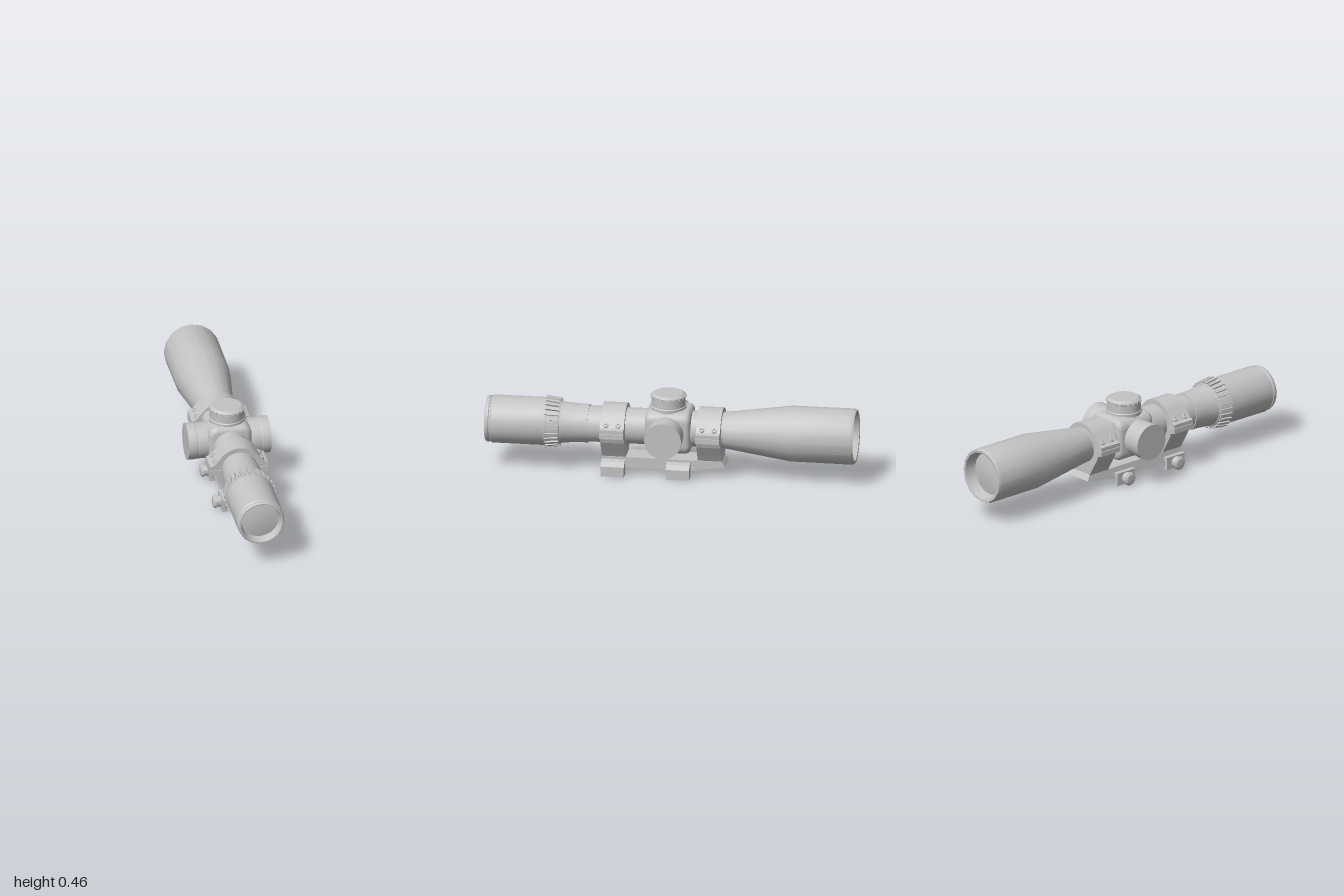
import * as THREE from 'three';
import { toCreasedNormals } from 'three/addons/utils/BufferGeometryUtils.js';

const AXIS_Y = 0.259;
const TURRET_Z = 0.017;

export function createModel() {
  const model = new THREE.Group();
  model.name = 'rifleScope';
  const metal = new THREE.MeshStandardMaterial({ color: 0xc4c4c4 });
  metal.name = 'grey metal';

  const add = (name, geometry, parent = model) => {
    const mesh = new THREE.Mesh(geometry, metal);
    mesh.name = name;
    parent.add(mesh);
    return mesh;
  };
  const group = (name) => {
    const g = new THREE.Group();
    g.name = name;
    model.add(g);
    return g;
  };
  // Profile of [radius, height] pairs turned about y
  const turn = (points, sides = 32) => toCreasedNormals(
    new THREE.LatheGeometry(points.map(([r, h]) => new THREE.Vector2(r, h)), sides), 0.45);
  const alongZ = (points, sides) => turn(points, sides).rotateX(Math.PI / 2).translate(0, AXIS_Y, 0);
  // Outline of [x, y] pairs extruded from z0 to z1
  const extrude = (points, z0, z1) => new THREE.ExtrudeGeometry(
    new THREE.Shape(points.map(([x, y]) => new THREE.Vector2(x, y))),
    { depth: z1 - z0, bevelEnabled: false }).translate(0, 0, z0);

  // Optical tube, from the objective at the back to the eyepiece at the front
  add('mainTube', alongZ([[0.097, -0.34], [0.097, 0.46]]));
  add('objectiveBell', alongZ([
    [0, -0.955], [0.06, -0.952], [0.118, -0.94], [0.132, -0.998], [0.145, -1], [0.151, -0.985],
    [0.15, -0.65], [0.098, -0.29]], 16));
  add('eyepieceNeck', alongZ([[0.09, 0.445], [0.103, 0.445], [0.104, 0.5], [0.109, 0.57], [0.117, 0.61]]));
  add('eyepiece', alongZ([
    [0.11, 0.66], [0.129, 0.66], [0.129, 0.965], [0.121, 0.972], [0.121, 0.977],
    [0.125, 0.98], [0.125, 0.992], [0.12, 1], [0.112, 1], [0.102, 0.95], [0.06, 0.958], [0, 0.962]]));

  // Zoom ring with slanted grip ribs
  const zoom = group('zoomRing');
  add('zoomRingBody', alongZ([[0.1, 0.595], [0.117, 0.595], [0.122, 0.605], [0.13, 0.665],
    [0.134, 0.668], [0.134, 0.682], [0.12, 0.685]]), zoom);
  const ribs = 28;
  for (let i = 0; i < ribs; i++) {
    const rib = new THREE.BoxGeometry(0.017, 0.012, 0.076)
      .rotateX(-0.14).translate(0, 0.1295, 0.638)
      .rotateZ((i / ribs) * Math.PI * 2).translate(0, AXIS_Y, 0);
    add('zoomRingRib', rib, zoom);
  }

  // Turret housing: rounded square with softened ends
  const section = new THREE.Shape();
  const corner = 0.065;
  for (let i = 0; i < 4; i++) {
    const a = (i * Math.PI) / 2;
    const q = a + Math.PI / 4;
    section.absarc(Math.SQRT2 * corner * Math.cos(q), Math.SQRT2 * corner * Math.sin(q), 0.022, a, a + Math.PI / 2);
  }
  add('turretHousing', toCreasedNormals(new THREE.ExtrudeGeometry(section, {
    depth: 0.184, bevelSize: 0.031, bevelThickness: 0.031, bevelSegments: 5, curveSegments: 6,
  }), 0.45).translate(0, AXIS_Y, -0.084));

  // Elevation turret with toothed rim
  const top = group('elevationTurret');
  add('elevationCap', turn([[0, 0.33], [0.096, 0.33], [0.096, 0.388], [0.092, 0.392], [0.092, 0.434],
    [0.095, 0.436], [0.095, 0.438], [0.089, 0.439], [0.089, 0.447], [0.093, 0.448],
    [0.086, 0.454], [0.077, 0.459], [0, 0.459]]).translate(0, 0, TURRET_Z), top);
  const teeth = 20;
  for (let i = 0; i < teeth; i++) {
    add('capTooth', new THREE.BoxGeometry(0.019, 0.012, 0.01).translate(0, 0.442, 0.09)
      .rotateY((i / teeth) * Math.PI * 2).translate(0, 0, TURRET_Z), top);
  }

  // Side turrets
  for (const side of [1, -1]) {
    add(side > 0 ? 'leftTurret' : 'rightTurret',
      turn([[0, 0.1], [0.098, 0.1], [0.098, 0.176], [0.1, 0.18], [0.1, 0.225], [0, 0.225]])
        .rotateZ(-side * Math.PI / 2).translate(0, AXIS_Y, TURRET_Z));
  }

  // Clamping rings: lower saddle, upper cap with sloped shoulders, four screws each
  const saddleHalf = [[0.06, 0.09], [0.062, 0.101], [0.085, 0.141], [0.118, 0.196],
    [0.128, 0.224], [0.158, 0.231], [0.158, 0.257]];
  const saddle = [...saddleHalf, ...saddleHalf.map(([x, y]) => [-x, y]).reverse()];
  const cap = [[-0.158, 0.26], [0.158, 0.26], [0.158, 0.281], [0.137, 0.287]];
  for (let i = 0; i <= 14; i++) {
    const a = 0.75 + (i / 14) * (Math.PI - 1.5);
    cap.push([0.122 * Math.cos(a), AXIS_Y + 0.122 * Math.sin(a)]);
  }
  cap.push([-0.137, 0.287], [-0.158, 0.281]);
  for (const [label, z0] of [['front', 0.24], ['rear', -0.28]]) {
    const ring = group(label + 'Ring');
    add('ringSaddle', extrude(saddle, z0, z0 + 0.13), ring);
    add('ringCap', toCreasedNormals(extrude(cap, z0, z0 + 0.13), 0.3), ring);
    for (const side of [1, -1]) {
      for (const dz of [0.032, 0.098]) {
        add('ringScrew', turn([[0, -0.02], [0.014, -0.02], [0.014, 0.004], [0.011, 0.008],
          [0.007, 0.008], [0.007, 0.001], [0, 0.001]], 12)
          .rotateZ(-side * 0.75).translate(side * 0.127, 0.298, z0 + dz), ring);
      }
    }
  }

  // Mount deck with a tapered rear end and a sloped right flank
  const deck = extrude([[0.37, 0.04], [-0.11, 0.04], [-0.3, 0.07], [-0.28, 0.1], [0.37, 0.1]].reverse(), 0, 0.138)
    .rotateY(-Math.PI / 2).translate(0.065, 0, 0);
  const p = deck.attributes.position;
  for (let i = 0; i < p.count; i++) {
    if (p.getX(i) < 0) p.setX(i, -0.073 + (p.getY(i) - 0.04) * 0.2);
  }
  deck.computeVertexNormals();
  add('mountDeck', deck);

  // Rail feet: fixed jaw, moving jaw and thumb nut
  const fixedJaw = [[0.05, 0.038], [0.07, 0.02], [0.056, 0.006], [0.06, 0.002], [0.115, 0.002],
    [0.115, 0.057], [0.09, 0.078], [0.065, 0.086], [0.05, 0.086]];
  const movingJaw = [[-0.092, 0.002], [-0.062, 0.002], [-0.066, 0.008], [-0.08, 0.022],
    [-0.08, 0.041], [-0.06, 0.072], [-0.092, 0.072]];
  const nut = [[0, 0.085], [0.03, 0.085], [0.03, 0.118], [0.037, 0.118], [0.037, 0.124], [0.026, 0.133], [0, 0.136]];
  for (const [label, z0] of [['front', 0.243], ['rear', -0.11]]) {
    const foot = group(label + 'Foot');
    add('fixedJaw', extrude(fixedJaw, z0, z0 + 0.127), foot);
    add('movingJaw', extrude(movingJaw, z0, z0 + 0.127), foot);
    add('thumbNut', turn(nut, 20).rotateZ(Math.PI / 2).translate(0, 0.037, z0 + 0.063), foot);
  }

  return model;
}
